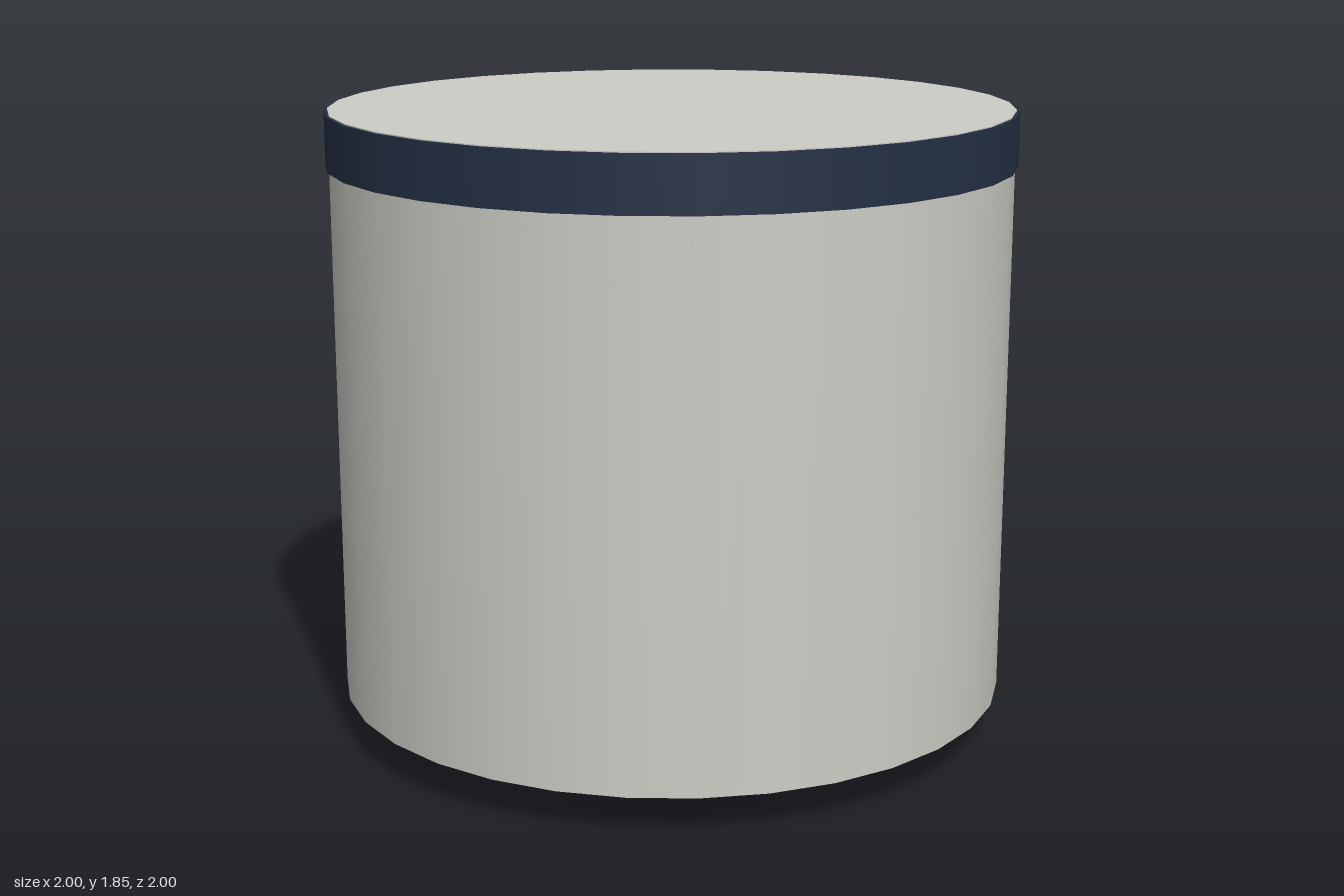
import * as THREE from 'three';

const paint = (name, color) => {
  const material = new THREE.MeshStandardMaterial({ color });
  material.name = name;
  return material;
};

export function createModel() {
  const model = new THREE.Group();
  const shell = paint('warm light grey', 0xcdcdc6);
  const navy = paint('dark navy', 0x233044);
  const slate = paint('slate grey', 0x4b5457);

  // Upright round part between two heights
  const addRound = (name, material, topRadius, bottomRadius, y0, y1, sides, open = false) => {
    const geometry = new THREE.CylinderGeometry(topRadius, bottomRadius, y1 - y0, sides, 1, open);
    const mesh = new THREE.Mesh(geometry, material);
    mesh.name = name;
    mesh.position.y = (y0 + y1) / 2;
    model.add(mesh);
  };

  // Flared foot, drum body and the band round its top edge
  addRound('foot', slate, 0.4, 0.595, 0, 0.125, 12);
  addRound('body', shell, 0.99, 0.99, 0.12, 1.85, 32);
  addRound('rimBand', navy, 1, 1, 1.69, 1.847, 32);

  return model;
}
